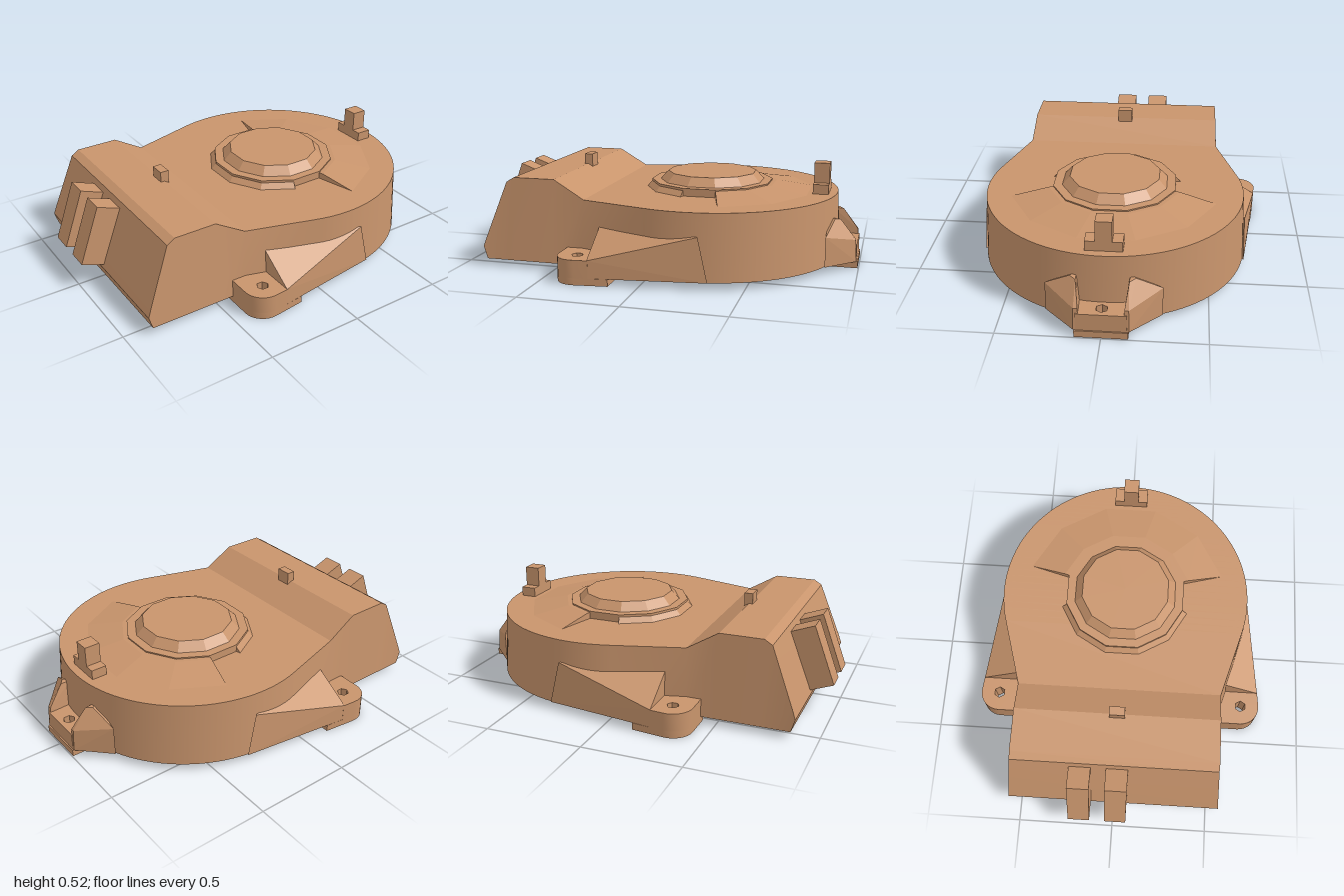
import * as THREE from 'three';
import { toCreasedNormals } from 'three/addons/utils/BufferGeometryUtils.js';
import { ConvexGeometry } from 'three/addons/geometries/ConvexGeometry.js';

const rad = THREE.MathUtils.degToRad;

export function createModel() {
  const model = new THREE.Group();
  const mat = new THREE.MeshStandardMaterial({ color: 0xc8946c });
  const flat = new THREE.MeshStandardMaterial({ color: 0xc8946c, flatShading: true, side: THREE.DoubleSide });

  function add(name, geo, material = mat) {
    const mesh = new THREE.Mesh(geo, material);
    mesh.name = name;
    model.add(mesh);
    return mesh;
  }

  function box(name, x0, x1, y0, y1, z0, z1) {
    add(name, new THREE.BoxGeometry(x1 - x0, y1 - y0, z1 - z0))
      .position.set((x0 + x1) / 2, (y0 + y1) / 2, (z0 + z1) / 2);
  }

  // Upright plate from a plan outline of [x, z] points, with a hexagonal screw hole
  function plate(name, outline, hole, y0, y1) {
    const shape = new THREE.Shape(outline.map(([x, z]) => new THREE.Vector2(x, -z)));
    const pts = [];
    for (let i = 0; i < 6; i++) {
      const a = rad(60 * i);
      pts.push(new THREE.Vector2(hole[0] + 0.03 * Math.cos(a), -hole[1] + 0.03 * Math.sin(a)));
    }
    shape.holes.push(new THREE.Path(pts));
    const geo = new THREE.ExtrudeGeometry(shape, { depth: y1 - y0, bevelEnabled: false });
    geo.rotateX(-Math.PI / 2).translate(0, y0, 0);
    add(name, toCreasedNormals(geo, rad(25)));
  }

  function hull(name, points) {
    add(name, new ConvexGeometry(points.map((p) => new THREE.Vector3(...p))), flat);
  }

  // Body: cross-sections along x, each [bottom x, y, half width, top x, y, half width]
  const sections = [
    [-0.89, 0.1, 0.56, -0.89, 0.1, 0.56],
    [-0.87, 0.035, 0.56, -0.87, 0.155, 0.555],
    [-0.76, 0.035, 0.56, -0.76, 0.44, 0.53],
    [-0.72, 0.035, 0.56, -0.72, 0.465, 0.53],
    [-0.5, 0.035, 0.56, -0.5, 0.465, 0.53],
    [-0.35, 0.035, 0.56, -0.34, 0.37, 0.535],
  ];
  const steps = 32;
  for (let i = 0; i <= steps; i++) {
    const a = rad(107 * (1 - i / steps));
    const c = Math.cos(a), s = Math.sin(a);
    sections.push([0.205 + 0.686 * c, 0.035, 0.686 * s, 0.205 + 0.668 * c, 0.37, 0.668 * s]);
  }
  const pos = [], idx = [];
  sections.forEach(([xb, yb, wb, xt, yt, wt], i) => {
    pos.push(xb, yb, wb, xt, yt, wt, xt, yt, -wt, xb, yb, -wb);
    if (i === sections.length - 1) return;
    for (let k = 0; k < 4; k++) {
      const a = i * 4 + k, b = i * 4 + (k + 1) % 4;
      idx.push(a, a + 4, b + 4, a, b + 4, b);
    }
  });
  idx.push(0, 1, 2, 0, 2, 3);
  const body = new THREE.BufferGeometry();
  body.setAttribute('position', new THREE.Float32BufferAttribute(pos, 3));
  body.setIndex(idx);
  add('housing', toCreasedNormals(body, rad(20)));

  // Twelve-sided hub on the lid; profiles are given as [apothem, y]
  function hubPart(name, profile, startDeg, lengthDeg, segments) {
    const pts = profile.map(([r, y]) => new THREE.Vector2(r / Math.cos(rad(15)), y));
    const geo = new THREE.LatheGeometry(pts, segments, rad(startDeg), rad(lengthDeg));
    add(name, geo, flat).position.x = 0.2;
    if (lengthDeg === 360) return;
    // Close both ends of a partial ring
    for (const d of [startDeg, startDeg + lengthDeg]) {
      const cap = new THREE.ShapeGeometry(new THREE.Shape([...pts, new THREE.Vector2(pts.at(-1).x, pts[0].y)]));
      const mesh = add(name + 'End', cap, flat);
      mesh.rotation.y = rad(d - 90);
      mesh.position.x = 0.2;
    }
  }
  hubPart('hub', [[0.315, 0.365], [0.315, 0.41], [0.27, 0.41], [0.23, 0.455], [0, 0.455]], 15, 360, 12);
  hubPart('hubChamfer', [[0.34, 0.369], [0.305, 0.409]], -165, 150, 5);
  hubPart('lidRise', [[0.53, 0.369], [0.338, 0.403], [0.315, 0.403]], 15, 150, 5);

  // Clip post, and small pin on the raised end
  box('clipBase', 0.75, 0.83, 0.36, 0.42, -0.09, 0.09);
  box('clipPost', 0.75, 0.83, 0.41, 0.525, -0.04, 0.04);
  box('pin', -0.52, -0.475, 0.45, 0.52, -0.04, 0.04);

  // Sloped ribs on the end wall
  const rib = new THREE.Shape([[-0.89, 0.455], [-1, 0.16], [-0.88, 0.115], [-0.77, 0.41]]
    .map(([x, y]) => new THREE.Vector2(x, y)));
  for (const z of [-0.23, -0.04]) {
    add('endRib', new THREE.ExtrudeGeometry(rib, { depth: 0.112, bevelEnabled: false })).position.z = z;
  }

  for (const s of [1, -1]) {
    // Side foot: rounded lug, lower pad reaching under the housing, and sloped gusset
    const arc = [];
    for (let i = 0; i <= 8; i++) {
      const a = rad(180 - i * 98 / 8);
      arc.push([-0.325 + 0.1 * Math.cos(a), s * (0.668 + 0.1 * Math.sin(a))]);
    }
    const hole = [-0.325, s * 0.668];
    plate('sideFoot', [[-0.425, s * 0.54], ...arc, [-0.24, s * 0.76], [-0.24, s * 0.54]], hole, 0.035, 0.125);
    plate('sideFootPad', [[-0.425, s * 0.52], ...arc, [-0.145, s * 0.747], [-0.145, s * 0.6], [-0.24, s * 0.52]],
      hole, 0, 0.035);
    hull('sideGusset', [
      [-0.245, 0.036, s * 0.76], [0.33, 0.036, s * 0.683], [-0.245, 0.036, s * 0.55], [0.2, 0.036, s * 0.6],
      [-0.245, 0.125, s * 0.76], [0.28, 0.255, s * 0.677], [-0.245, 0.255, s * 0.56], [0.2, 0.255, s * 0.62],
    ]);
    // Cheek beside the end foot
    hull('endFootCheek', [
      [0.988, 0.036, s * 0.13], [0.988, 0.036, s * 0.105], [0.84, 0.036, s * 0.28], [0.84, 0.036, s * 0.105],
      [0.98, 0.15, s * 0.128], [0.98, 0.15, s * 0.108], [0.9, 0.255, s * 0.125], [0.875, 0.26, s * 0.155],
      [0.84, 0.26, s * 0.125], [0.84, 0.19, s * 0.28],
    ]);
  }

  // End foot
  const rect = (x0, x1, w) => [[x0, -w], [x1, -w], [x1, w], [x0, w]];
  plate('endFoot', rect(0.85, 0.988, 0.12), [0.935, 0], 0.035, 0.125);
  plate('endFootPad', rect(0.73, 0.995, 0.127), [0.935, 0], 0, 0.035);

  return model;
}
